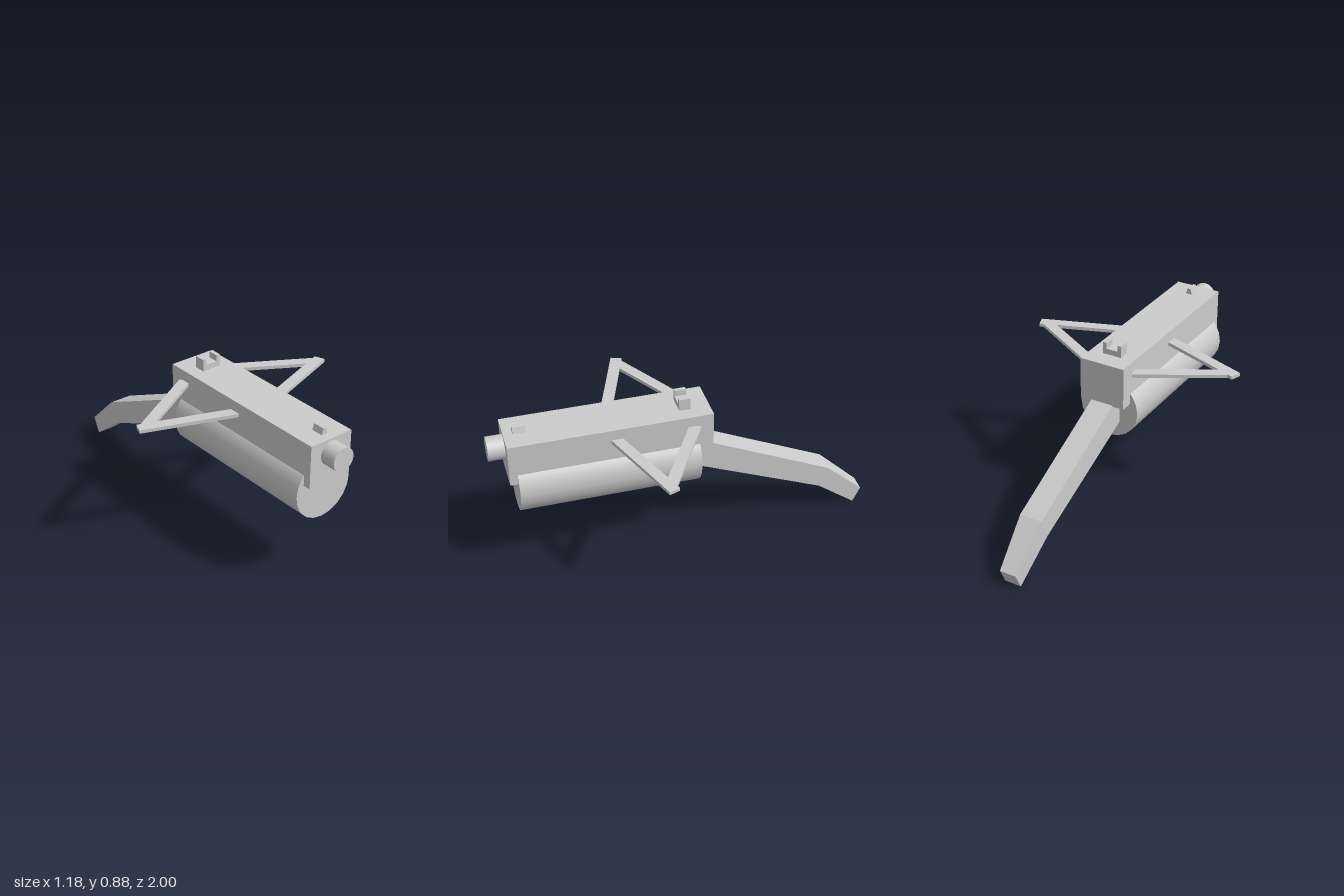
import * as THREE from 'three';

const material = new THREE.MeshStandardMaterial({ color: 0xcccccc });

function part(name, geometry, x = 0, y = 0, z = 0) {
  const mesh = new THREE.Mesh(geometry, material);
  mesh.name = name;
  mesh.position.set(x, y, z);
  return mesh;
}

// Cylinder lying along z between two depths
function barrel(name, radius, sides, y, z0, z1) {
  const geometry = new THREE.CylinderGeometry(radius, radius, z1 - z0, sides).rotateX(Math.PI / 2);
  return part(name, geometry, 0, y, (z0 + z1) / 2);
}

// Front-facing outline extruded along z
function plate(name, points, z0, z1) {
  const shape = new THREE.Shape(points.map(([x, y]) => new THREE.Vector2(x, y)));
  const geometry = new THREE.ExtrudeGeometry(shape, { depth: z1 - z0, bevelEnabled: false });
  return part(name, geometry, 0, 0, z0);
}

// Flat bar between two points [x, z] of a horizontal plane
function bar(name, [x0, z0], [x1, z1], y) {
  const dx = x1 - x0, dz = z1 - z0;
  const geometry = new THREE.BoxGeometry(Math.hypot(dx, dz), 0.018, 0.058);
  const mesh = part(name, geometry, (x0 + x1) / 2, y, (z0 + z1) / 2);
  mesh.rotation.y = -Math.atan2(dz, dx);
  return mesh;
}

// Bent, tapering stock: a box whose three rings follow cross-sections
function stockGeometry() {
  const sections = [
    { half: 0.062, top: [0.616, -0.07], bottom: [0.473, -0.02] },
    { half: 0.062, top: [0.281, -0.789], bottom: [0.168, -0.746] },
    { half: 0.045, top: [0.085, -1.0], bottom: [0.0, -0.96] },
  ];
  const geometry = new THREE.BoxGeometry(1, 1, 1, 1, 1, 2).toNonIndexed();
  const p = geometry.attributes.position;
  for (let i = 0; i < p.count; i++) {
    const s = sections[Math.round((0.5 - p.getZ(i)) * 2)];
    const [y, z] = p.getY(i) > 0 ? s.top : s.bottom;
    p.setXYZ(i, Math.sign(p.getX(i)) * s.half, y, z);
  }
  geometry.computeVertexNormals();
  return geometry;
}

export function createModel() {
  const model = new THREE.Group();
  model.name = 'handheldLauncher';

  // Main body, drum beneath it and muzzle
  model.add(part('body', new THREE.BoxGeometry(0.25, 0.228, 1.04), 0, 0.699, 0.395));
  model.add(barrel('drum', 0.167, 20, 0.533, -0.055, 0.875));
  model.add(barrel('muzzle', 0.062, 32, 0.737, 0.9, 1.0));

  // Sights on top
  model.add(plate('frontSight', [
    [-0.019, 0.81], [0.019, 0.81], [0.008, 0.845], [-0.008, 0.845],
  ], 0.803, 0.867));
  model.add(plate('rearSight', [
    [-0.053, 0.81], [0.053, 0.81], [0.053, 0.876], [0.032, 0.876],
    [0.032, 0.843], [-0.032, 0.843], [-0.032, 0.876], [-0.053, 0.876],
  ], -0.024, 0.035));

  // Triangular side braces
  for (const [label, side] of [['left', 1], ['right', -1]]) {
    const brace = new THREE.Group();
    brace.name = label + 'Brace';
    brace.add(bar('frontStrut', [side * 0.095, 0.382], [side * 0.582, 0.206], 0.748));
    brace.add(bar('rearStrut', [side * 0.12, -0.031], [side * 0.533, 0.208], 0.748));
    model.add(brace);
  }

  model.add(part('stock', stockGeometry()));
  return model;
}
